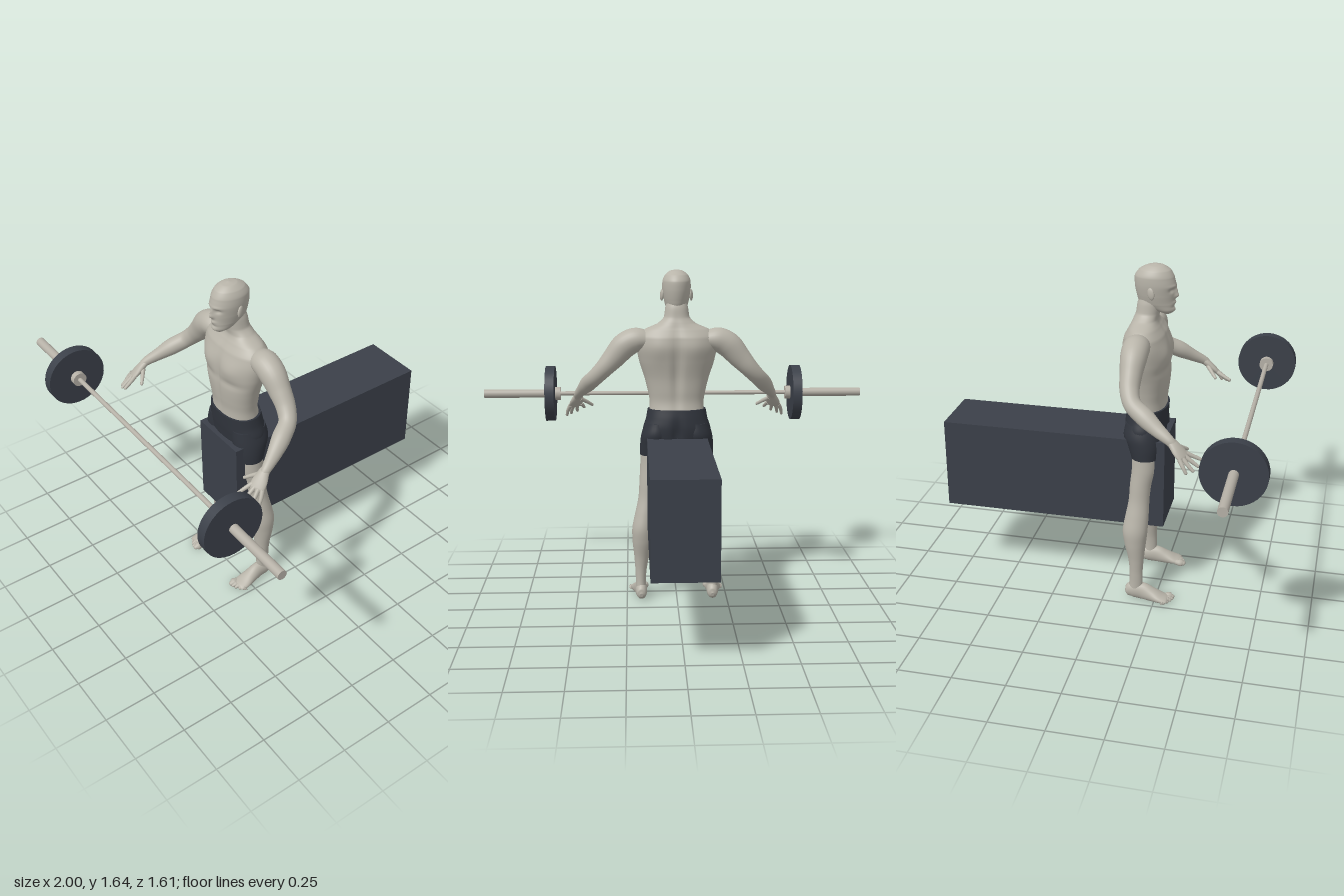
import * as THREE from 'three';

const V = (x, y, z) => new THREE.Vector3(x, y, z);
const mat = (name, color) => {
  const m = new THREE.MeshStandardMaterial({ color });
  m.name = name;
  return m;
};
// soft bump centred on 0
const bump = (d, w) => Math.exp(-((d / w) ** 2));

// Smooth capped loft through sections [x, y, z, halfWidth, halfDepth].
// Rings are horizontal (sections run upward) unless a side vector is given.
function loft(sections, { side = null, segs = 32, sub = 6, power = 2, shape = null } = {}) {
  const path = new THREE.CatmullRomCurve3(sections.map(s => V(s[0], s[1], s[2])));
  const radii = new THREE.CatmullRomCurve3(sections.map(s => V(s[3], s[4], 0)));
  const rows = (sections.length - 1) * sub;
  const pos = [], idx = [];
  const curve = c => Math.sign(c) * Math.abs(c) ** (2 / power);
  for (let i = 0; i <= rows; i++) {
    const u = i / rows, c = path.getPoint(u), r = radii.getPoint(u);
    const T = side ? path.getTangent(u) : V(0, 1, 0);
    const S = side ? side.clone() : V(1, 0, 0);
    S.addScaledVector(T, -S.dot(T)).normalize();
    const F = S.clone().cross(T);
    for (let j = 0; j < segs; j++) {
      const t = (j / segs) * Math.PI * 2;
      const p = c.clone()
        .addScaledVector(S, Math.max(r.x, 0.001) * curve(Math.cos(t)))
        .addScaledVector(F, Math.max(r.y, 0.001) * curve(Math.sin(t)));
      if (shape) shape(p, c);
      pos.push(p.x, p.y, p.z);
    }
  }
  for (let i = 0; i < rows; i++) for (let j = 0; j < segs; j++) {
    const a = i * segs + j, b = i * segs + (j + 1) % segs;
    idx.push(a, a + segs, b, b, a + segs, b + segs);
  }
  // end caps with their own rim vertices
  for (const row of [0, rows]) {
    const start = pos.length / 3, c = path.getPoint(row / rows);
    for (let k = 0; k < segs * 3; k++) pos.push(pos[row * segs * 3 + k]);
    pos.push(c.x, c.y, c.z);
    for (let j = 0; j < segs; j++) {
      const a = start + j, b = start + (j + 1) % segs;
      idx.push(start + segs, ...(row ? [b, a] : [a, b]));
    }
  }
  const g = new THREE.BufferGeometry();
  g.setAttribute('position', new THREE.Float32BufferAttribute(pos, 3));
  g.setIndex(idx);
  g.computeVertexNormals();
  return g;
}

// Mirror across x with the winding corrected
function mirrored(geo) {
  const g = geo.clone();
  const p = g.attributes.position, ix = g.index.array;
  for (let i = 0; i < p.count; i++) p.setX(i, -p.getX(i));
  for (let i = 0; i < ix.length; i += 3) [ix[i], ix[i + 1]] = [ix[i + 1], ix[i]];
  g.computeVertexNormals();
  return g;
}

export function createModel() {
  const root = new THREE.Group();
  root.name = 'athleteWithBarbell';
  const skin = mat('skin', 0xb8b4a9), cloth = mat('shortsCloth', 0x30343c);
  const dark = mat('darkPadding', 0x3b4049), steel = mat('barSteel', 0xb5b0a6);
  const add = (name, geo, m, parent = root) => {
    const mesh = new THREE.Mesh(geo, m);
    mesh.name = name;
    parent.add(mesh);
    return mesh;
  };
  const pair = (name, geo, m) => {
    add(name + 'Left', geo, m);
    add(name + 'Right', mirrored(geo), m);
  };

  // Bench
  add('bench', new THREE.BoxGeometry(0.294, 0.44, 1.08), dark).position.set(0, 0.61, -0.262);

  // Barbell
  const barbell = new THREE.Group();
  barbell.name = 'barbell';
  barbell.position.set(0, 0.97, 0.66);
  root.add(barbell);
  const rod = (name, r, x0, x1, m) => {
    const g = new THREE.CylinderGeometry(r, r, x1 - x0, 40).rotateZ(Math.PI / 2);
    add(name, g, m, barbell).position.x = (x0 + x1) / 2;
  };
  rod('grip', 0.011, -0.6, 0.6, steel);
  for (const s of [-1, 1]) {
    const span = (name, r, a, b, m) => rod(name, r, Math.min(s * a, s * b), Math.max(s * a, s * b), m);
    span('collar', 0.034, 0.597, 0.626, steel);
    span('plate', 0.145, 0.625, 0.673, dark);
    span('sleeve', 0.022, 0.62, 1, steel);
  }

  // Torso and neck, with chest, belly line and spine
  add('torso', loft([
    [0, 0.94, 0.172, 0.134, 0.088], [0, 1.0, 0.178, 0.132, 0.081], [0, 1.06, 0.18, 0.142, 0.086],
    [0, 1.12, 0.18, 0.157, 0.091], [0, 1.2, 0.172, 0.182, 0.098], [0, 1.27, 0.163, 0.195, 0.1],
    [0, 1.32, 0.158, 0.19, 0.09], [0, 1.357, 0.155, 0.155, 0.07], [0, 1.385, 0.155, 0.092, 0.058],
    [0, 1.415, 0.163, 0.062, 0.055], [0, 1.46, 0.17, 0.055, 0.055], [0, 1.5, 0.18, 0.045, 0.05],
  ], {
    segs: 80, sub: 7, power: 2.2, shape: (p, c) => {
      const x = Math.abs(p.x), k = Math.min(1, Math.abs(p.z - c.z) / 0.05);
      if (p.z > c.z) {
        p.z += k * (0.012 * bump(x - 0.08, 0.06) * bump(p.y - 1.235, 0.045)
          - 0.008 * bump(x, 0.013) * bump(p.y - 1.17, 0.16)
          - 0.006 * bump(x - 0.08, 0.07) * bump(p.y - 1.165, 0.018));
      } else {
        p.z += k * (0.016 * bump(x, 0.022) * bump(p.y - 1.16, 0.17)
          - 0.008 * bump(x - 0.09, 0.05) * bump(p.y - 1.27, 0.07));
      }
    },
  }), skin);

  // Head with brow, sockets, nose, lips and chin
  add('head', loft([
    [0, 1.414, 0.25, 0.018, 0.018], [0, 1.43, 0.236, 0.038, 0.048], [0, 1.46, 0.206, 0.052, 0.08],
    [0, 1.5, 0.198, 0.062, 0.088], [0, 1.55, 0.195, 0.069, 0.094], [0, 1.585, 0.191, 0.068, 0.09],
    [0, 1.615, 0.193, 0.055, 0.071], [0, 1.634, 0.196, 0.031, 0.038], [0, 1.64, 0.197, 0.003, 0.003],
  ], {
    segs: 96, sub: 10, shape: p => {
      if (p.z < 0.22) return;
      const x = Math.abs(p.x);
      p.z += 0.017 * bump(x, 0.011) * bump(p.y - 1.499, 0.012)
        + 0.01 * bump(x, 0.009) * bump(p.y - 1.52, 0.014)
        - 0.01 * bump(x - 0.028, 0.014) * bump(p.y - 1.528, 0.01)
        + 0.004 * bump(x - 0.025, 0.025) * bump(p.y - 1.545, 0.007)
        + 0.006 * bump(x, 0.018) * bump(p.y - 1.468, 0.007)
        - 0.004 * bump(x, 0.022) * bump(p.y - 1.448, 0.006)
        + 0.004 * bump(x, 0.02) * bump(p.y - 1.428, 0.012);
    },
  }), skin);
  const ear = new THREE.SphereGeometry(1, 20, 14).scale(0.008, 0.028, 0.017);
  pair('ear', ear.rotateX(-0.2).rotateY(0.3).translate(0.071, 1.518, 0.188), skin);

  // Arms from deltoid to wrist
  pair('arm', loft([
    [0.13, 1.305, 0.15, 0.04, 0.05], [0.2, 1.305, 0.15, 0.06, 0.062], [0.25, 1.28, 0.15, 0.062, 0.06],
    [0.305, 1.22, 0.15, 0.054, 0.05], [0.355, 1.165, 0.155, 0.044, 0.044], [0.398, 1.12, 0.178, 0.04, 0.04],
    [0.432, 1.084, 0.235, 0.04, 0.042], [0.465, 1.043, 0.3, 0.029, 0.033], [0.49, 1.01, 0.357, 0.021, 0.023],
    [0.495, 0.995, 0.375, 0.017, 0.02],
  ], { side: V(1, 1, 0), segs: 28 }), skin);

  // Hands
  const across = V(1, -0.25, -0.3);
  pair('palm', loft([
    [0.486, 1.016, 0.35, 0.018, 0.014], [0.492, 0.995, 0.375, 0.026, 0.018],
    [0.502, 0.965, 0.405, 0.036, 0.016], [0.508, 0.945, 0.425, 0.036, 0.012], [0.511, 0.937, 0.432, 0.028, 0.006],
  ], { side: across, segs: 20 }), skin);
  const digits = {
    thumb: [[0.478, 0.985, 0.38], [0.443, 0.962, 0.408], [0.42, 0.945, 0.428]],
    indexFinger: [[0.482, 0.955, 0.428], [0.472, 0.937, 0.465], [0.466, 0.923, 0.495]],
    middleFinger: [[0.5, 0.949, 0.428], [0.502, 0.925, 0.462], [0.502, 0.905, 0.49]],
    ringFinger: [[0.518, 0.945, 0.423], [0.528, 0.917, 0.45], [0.533, 0.895, 0.473]],
    littleFinger: [[0.533, 0.945, 0.412], [0.547, 0.916, 0.43], [0.553, 0.89, 0.445]],
  };
  for (const [name, [a, b, c]] of Object.entries(digits)) {
    const end = c.map((v, i) => v + (c[i] - b[i]) * 0.12);
    pair(name, loft([[...a, 0.011, 0.011], [...b, 0.009, 0.009], [...c, 0.007, 0.007], [...end, 0.002, 0.002]],
      { side: across, segs: 12, sub: 4 }), skin);
  }

  // Shorts
  add('shortsHips', loft([
    [0, 0.79, 0.165, 0.13, 0.075], [0, 0.83, 0.164, 0.165, 0.092], [0, 0.87, 0.164, 0.166, 0.096],
    [0, 0.92, 0.168, 0.151, 0.097], [0, 0.968, 0.174, 0.142, 0.094],
  ], {
    segs: 64, power: 2.2, shape: (p, c) => {
      if (p.z < c.z - 0.03) p.z += 0.018 * bump(p.x, 0.018) * bump(p.y - 0.85, 0.06);
    },
  }), cloth);
  pair('shortsLeg', loft([
    [0.113, 0.737, 0.18, 0.068, 0.066], [0.106, 0.79, 0.174, 0.074, 0.079],
    [0.098, 0.84, 0.165, 0.076, 0.09], [0.09, 0.9, 0.167, 0.066, 0.085],
  ]), cloth);

  // Legs
  pair('leg', loft([
    [0.18, 0.03, 0.15, 0.026, 0.036], [0.181, 0.09, 0.156, 0.025, 0.033], [0.18, 0.15, 0.156, 0.028, 0.032],
    [0.176, 0.22, 0.154, 0.037, 0.038], [0.171, 0.3, 0.148, 0.05, 0.052], [0.17, 0.37, 0.147, 0.052, 0.06],
    [0.16, 0.44, 0.153, 0.048, 0.056], [0.145, 0.52, 0.16, 0.046, 0.05], [0.132, 0.6, 0.166, 0.053, 0.053],
    [0.12, 0.68, 0.177, 0.061, 0.06], [0.113, 0.76, 0.178, 0.064, 0.062],
  ]), skin);

  // Feet, soles pressed flat
  const flat = p => { p.y = Math.max(p.y, 0.003); };
  pair('foot', loft([
    [0.178, 0.03, 0.104, 0.008, 0.01], [0.178, 0.032, 0.112, 0.022, 0.026], [0.179, 0.042, 0.14, 0.029, 0.042],
    [0.181, 0.042, 0.185, 0.03, 0.044], [0.185, 0.03, 0.235, 0.036, 0.034], [0.189, 0.02, 0.28, 0.043, 0.021],
    [0.19, 0.015, 0.31, 0.04, 0.013], [0.19, 0.013, 0.318, 0.03, 0.006],
  ], { side: V(1, 0, 0), segs: 28, shape: flat }), skin);
  for (let i = 0; i < 5; i++) {
    const x = 0.16 + i * 0.0165, r = i ? 0.0085 : 0.013, z = 0.343 - i * i * 0.0022;
    pair('toe', loft([
      [x, 0.016, 0.29, r, r], [x, 0.013, z - 0.012, r, r], [x, 0.011, z - 0.003, r * 0.7, r * 0.7],
      [x, 0.01, z, 0.002, 0.002],
    ], { side: V(1, 0, 0), segs: 12, sub: 4, shape: flat }), skin);
  }
  return root;
}
